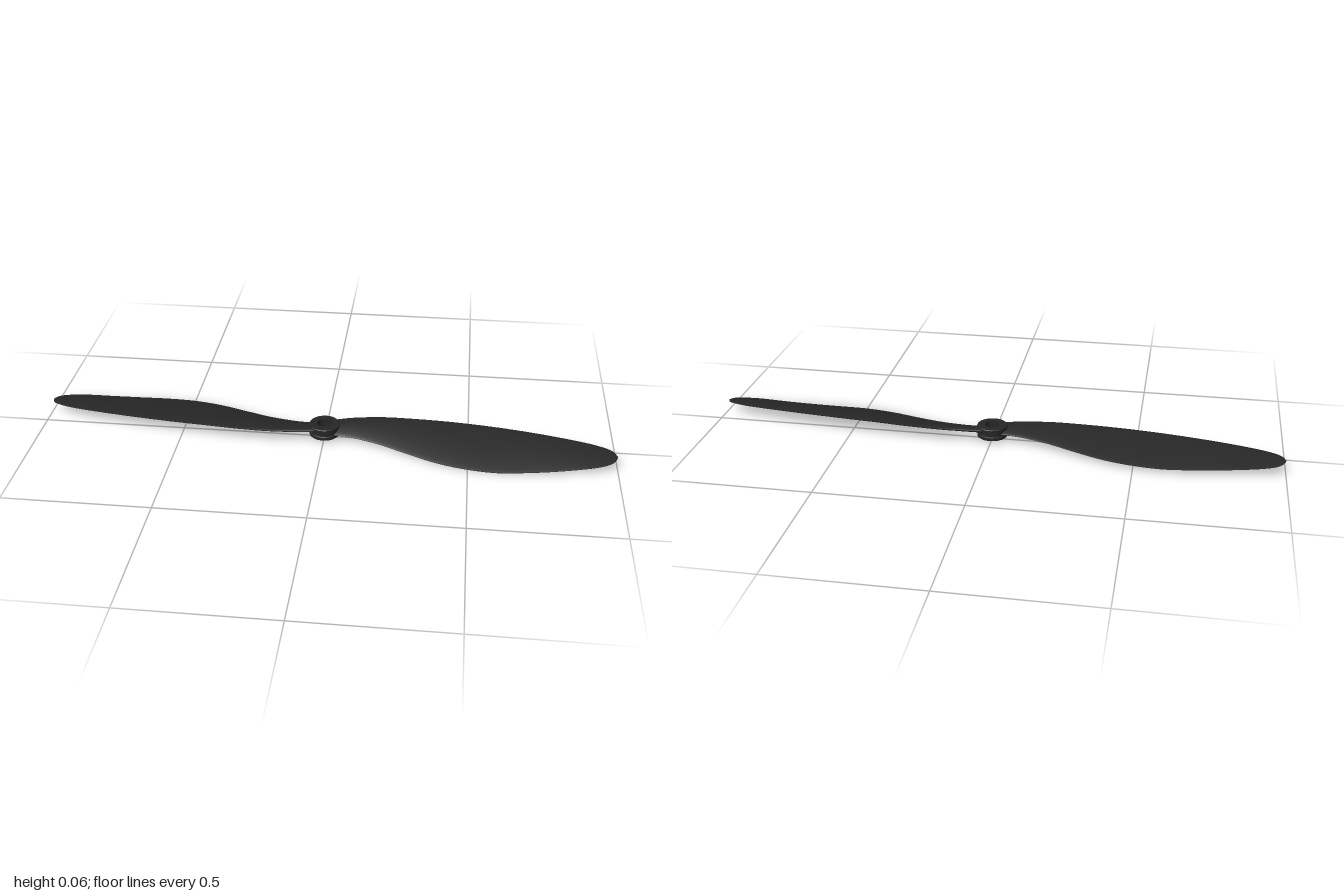
import * as THREE from 'three';
import { toCreasedNormals } from 'three/addons/utils/BufferGeometryUtils.js';

// Blade stations: x, leading edge z and y, trailing edge z and y, half thickness
const STATIONS = [
  [0.03, -0.042, 0.046, 0.034, 0.030, 0.010],
  [0.10, -0.056, 0.051, 0.040, 0.027, 0.009],
  [0.20, -0.065, 0.055, 0.066, 0.021, 0.008],
  [0.30, -0.063, 0.057, 0.106, 0.014, 0.0075],
  [0.40, -0.056, 0.059, 0.144, 0.009, 0.007],
  [0.50, -0.047, 0.059, 0.166, 0.006, 0.007],
  [0.60, -0.035, 0.058, 0.173, 0.004, 0.0065],
  [0.70, -0.020, 0.056, 0.167, 0.008, 0.006],
  [0.80, -0.002, 0.053, 0.158, 0.015, 0.0055],
  [0.90, 0.020, 0.049, 0.146, 0.025, 0.0045],
  [0.96, 0.041, 0.046, 0.130, 0.031, 0.0035],
  [0.988, 0.060, 0.043, 0.111, 0.036, 0.003],
  [1.00, 0.085, 0.040, 0.086, 0.040, 0.0008],
];

// Lofts rounded, slightly cambered sections along x; pitch scales the tilt
function bladeGeometry(pitch, midY) {
  const curve = (f) => new THREE.CatmullRomCurve3(STATIONS.map(f), false, 'catmullrom');
  const height = (y) => midY + (y - 0.034) * pitch;
  const lead = curve((s) => new THREE.Vector3(s[0], height(s[2]), s[1]));
  const trail = curve((s) => new THREE.Vector3(s[0], height(s[4]), s[3]));
  const half = curve((s) => new THREE.Vector3(s[0], s[5], 0));
  const rows = 96, cols = 28;
  const positions = [], index = [];
  for (let i = 0; i <= rows; i++) {
    const t = i / rows;
    const a = lead.getPoint(t), b = trail.getPoint(t), h = half.getPoint(t).y;
    const chord = b.z - a.z;
    for (let j = 0; j < cols; j++) {
      const angle = (j / cols) * Math.PI * 2;
      const u = 0.5 - 0.5 * Math.cos(angle);
      const p = a.clone().lerp(b, u);
      p.y += h * Math.sin(angle) * (1.15 - 0.6 * u) + 0.08 * chord * u * (1 - u);
      positions.push(p.x, p.y, p.z);
      if (i < rows) {
        const k = (j + 1) % cols, r = i * cols, n = r + cols;
        index.push(r + j, r + k, n + j, r + k, n + k, n + j);
      }
    }
  }
  const geometry = new THREE.BufferGeometry();
  geometry.setAttribute('position', new THREE.Float32BufferAttribute(positions, 3));
  geometry.setIndex(index);
  geometry.computeVertexNormals();
  return geometry;
}

export function createModel() {
  const group = new THREE.Group();
  group.name = 'propeller';
  const black = new THREE.MeshStandardMaterial({ color: 0x272727 });
  black.name = 'black plastic';

  const add = (name, geometry) => {
    const mesh = new THREE.Mesh(geometry, black);
    mesh.name = name;
    group.add(mesh);
    return mesh;
  };

  // Two blades, the second turned half way round and pitched less steeply
  add('leftBlade', bladeGeometry(1, 0.034));
  add('rightBlade', bladeGeometry(0.62, 0.038)).rotation.y = Math.PI;

  // Ring hub with a shaft hole and a slight waist
  const profile = [
    [0.026, 0.016], [0.051, 0.016], [0.053, 0.018], [0.053, 0.028], [0.050, 0.030],
    [0.050, 0.044], [0.053, 0.046], [0.053, 0.055], [0.051, 0.057], [0.026, 0.057], [0.026, 0.016],
  ].map(([x, y]) => new THREE.Vector2(x, y));
  add('hub', toCreasedNormals(new THREE.LatheGeometry(profile, 48), 0.6));

  return group;
}
